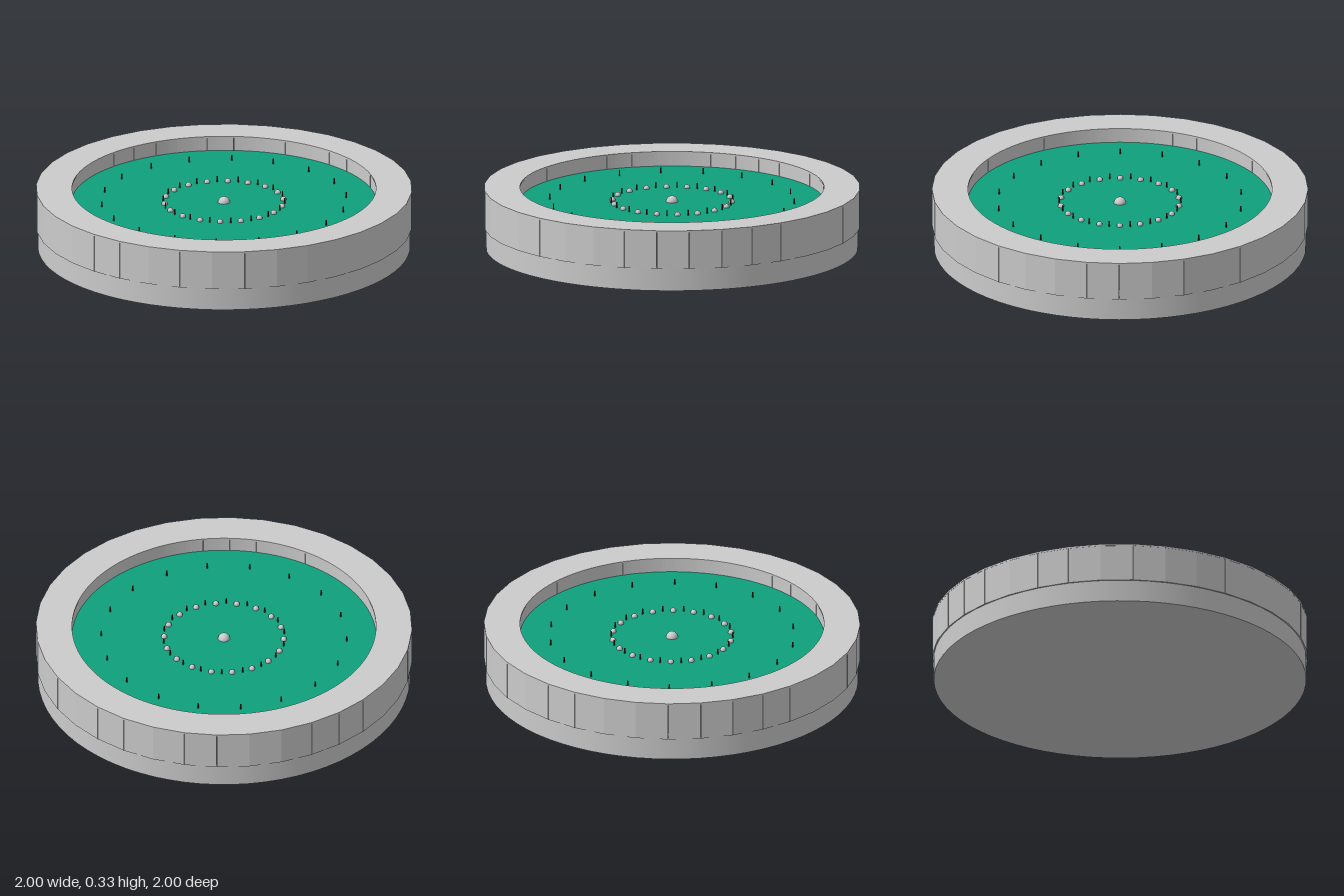
import * as THREE from 'three';

const grey = new THREE.MeshStandardMaterial({ color: 0xcccccc });
const water = new THREE.MeshStandardMaterial({ color: 0x0fa07c });
const dark = new THREE.MeshStandardMaterial({ color: 0x5a2a1c });
const STONES = 36, JETS = 18, WATER_Y = 0.25;

function part(parent, name, geometry, material, x = 0, y = 0, z = 0) {
  const mesh = new THREE.Mesh(geometry, material);
  mesh.name = name;
  mesh.position.set(x, y, z);
  parent.add(mesh);
  return mesh;
}

// One ring stone: flat outer face, curved inner face, extruded upwards
function stoneGeometry(inner, outer, height, gap) {
  const half = Math.PI / STONES - gap;
  const shape = new THREE.Shape();
  shape.moveTo(outer * Math.cos(-half), outer * Math.sin(-half));
  shape.lineTo(outer * Math.cos(half), outer * Math.sin(half));
  shape.absarc(0, 0, inner, half, -half, true);
  shape.closePath();
  const g = new THREE.ExtrudeGeometry(shape, { depth: height, bevelEnabled: false, curveSegments: 3 });
  return g.rotateX(-Math.PI / 2);
}

function stoneRing(name, geometry, y) {
  const ring = new THREE.Group();
  ring.name = name;
  for (let i = 0; i < STONES; i++) {
    part(ring, 'stone', geometry, grey, 0, y, 0).rotation.y = (i + 0.5) * 2 * Math.PI / STONES;
  }
  return ring;
}

// Same small fitting repeated round a circle, starting at +x plus an offset
function fittingRing(name, geometry, material, radius, y, offset) {
  const ring = new THREE.Group();
  ring.name = name;
  for (let i = 0; i < JETS; i++) {
    const a = (i + offset) * 2 * Math.PI / JETS;
    part(ring, 'fitting', geometry, material, radius * Math.cos(a), y, radius * Math.sin(a));
  }
  return ring;
}

export function createModel() {
  const model = new THREE.Group();
  model.name = 'fountainPool';

  // Round foundation, closed below, and the water inside the stone ring
  part(model, 'foundation', new THREE.CylinderGeometry(0.99, 0.99, 0.13, 72), grey, 0, 0.065, 0);
  part(model, 'waterSurface', new THREE.CylinderGeometry(0.812, 0.812, 0.12, 72), water, 0, WATER_Y - 0.06, 0);

  // Wall stones with a thin coping on top
  model.add(stoneRing('wallStones', stoneGeometry(0.81, 0.999, 0.2, 0.0008), 0.12));
  model.add(stoneRing('copingStones', stoneGeometry(0.808, 1, 0.01, 0), 0.32));

  // Central nozzle, domed lamps and thin jets
  part(model, 'centreNozzle', new THREE.SphereGeometry(0.032, 24, 16), grey, 0, WATER_Y, 0);
  const lamp = new THREE.SphereGeometry(0.016, 16, 12);
  const jet = new THREE.CylinderGeometry(0.004, 0.004, 0.04, 8);
  model.add(fittingRing('lamps', lamp, grey, 0.318, WATER_Y + 0.004, 0));
  model.add(fittingRing('innerJets', jet, dark, 0.324, WATER_Y + 0.01, 0.5));
  model.add(fittingRing('outerJets', jet, dark, 0.653, WATER_Y + 0.01, 0));

  return model;
}
